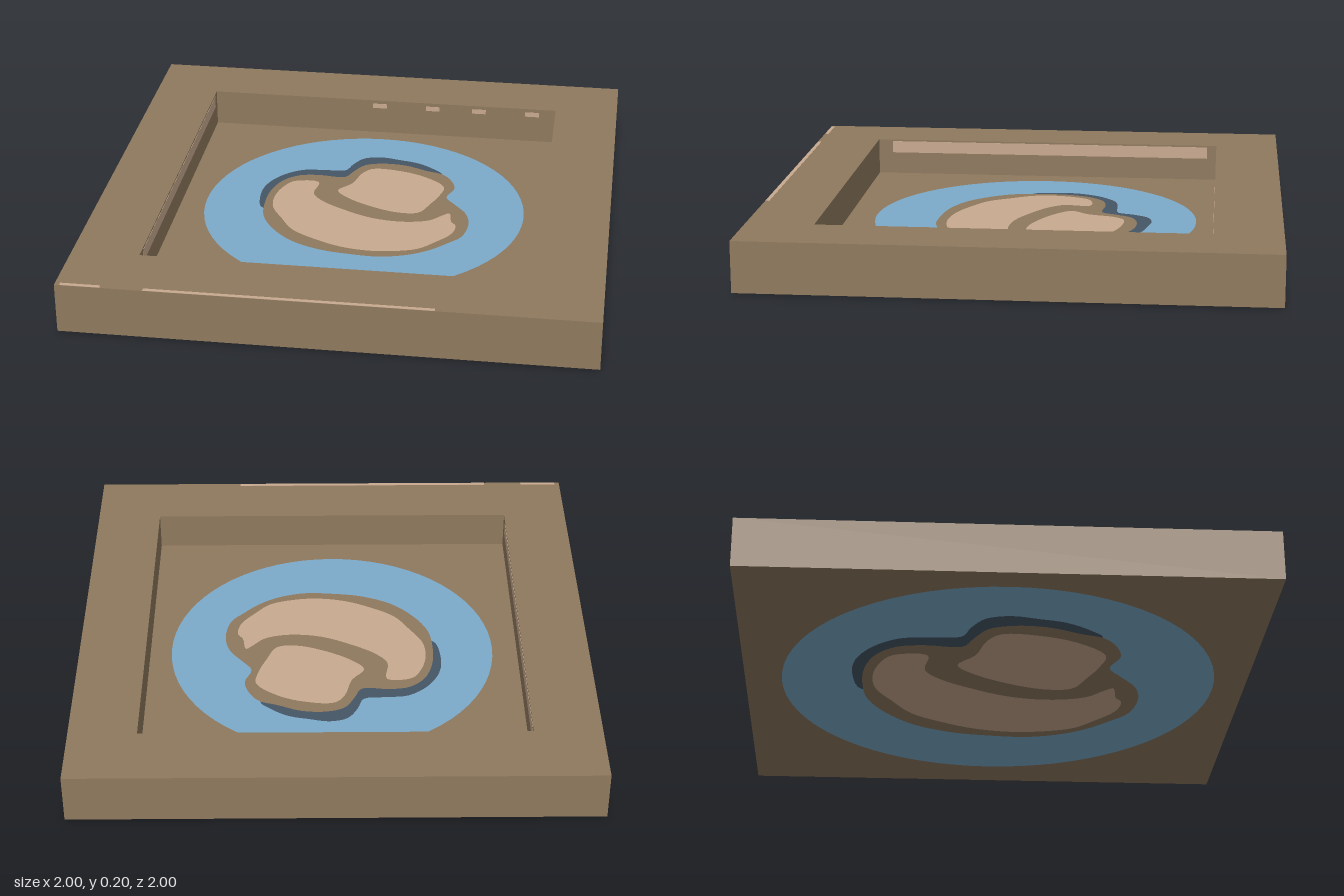
import * as THREE from 'three';

const mat = (name, color) => {
  const m = new THREE.MeshStandardMaterial({ color });
  m.name = name;
  return m;
};

export function createModel() {
  const model = new THREE.Group();
  model.name = 'framedPanel';
  const brown = mat('brown', 0x8f795e);
  const blue = mat('blue', 0x7cabca);
  const tan = mat('tan', 0xc8aa8f);
  const slate = mat('slate', 0x465666);

  const add = (parent, name, geometry, material) => {
    const mesh = new THREE.Mesh(geometry, material);
    mesh.name = name;
    parent.add(mesh);
    return mesh;
  };
  const box = (name, w, h, d, x, y, z, material) =>
    add(model, name, new THREE.BoxGeometry(w, h, d), material).position.set(x, y, z);

  const square = (r, Type) => {
    const s = new Type();
    s.moveTo(-r, -r);
    s.lineTo(r, -r);
    s.lineTo(r, r);
    s.lineTo(-r, r);
    s.closePath();
    return s;
  };

  // Square frame around a recessed floor
  const base = 0.004, floor = 0.05, inner = 0.74;
  const outline = square(1, THREE.Shape);
  outline.holes.push(square(inner, THREE.Path));
  const frame = new THREE.ExtrudeGeometry(outline, { depth: 0.2 - base, bevelEnabled: false });
  frame.rotateX(-Math.PI / 2).translate(0, base, 0);
  add(model, 'frame', frame, brown);
  box('floorPanel', inner * 2, floor - base, inner * 2, 0, (floor + base) / 2, 0, brown);

  // Painted picture: flat layers, outlines listed as x, z pairs
  const layer = (parent, name, coords, y, material) => {
    const pts = [];
    for (let i = 0; i < coords.length; i += 2) pts.push(new THREE.Vector3(coords[i], -coords[i + 1], 0));
    const curve = new THREE.CatmullRomCurve3(pts, true, 'centripetal');
    const shape = new THREE.Shape(curve.getPoints(pts.length * 4).slice(0, -1).map(p => new THREE.Vector2(p.x, p.y)));
    add(parent, name, new THREE.ShapeGeometry(shape).rotateX(-Math.PI / 2), material).position.y = y;
  };

  const makePicture = () => {
    const g = new THREE.Group();
    const disc = new THREE.CircleGeometry(0.648, 72).rotateX(-Math.PI / 2);
    add(g, 'blueDisc', disc, blue).position.set(0.007, 0.001, -0.02);
    layer(g, 'shadowBand', [
      -0.4, 0.03, -0.43, -0.08, -0.42, -0.18, -0.37, -0.27, -0.29, -0.33, -0.2, -0.34, -0.115, -0.35,
      -0.09, -0.41, -0.05, -0.47, 0.02, -0.49, 0.1, -0.475, 0.18, -0.455, 0.25, -0.41, 0.29, -0.365,
      0.15, -0.3, -0.05, -0.15, -0.25, -0.05,
    ], 0.002, slate);
    layer(g, 'brownBlob', [
      -0.4, 0.0, -0.395, -0.12, -0.36, -0.22, -0.3, -0.275, -0.22, -0.29, -0.11, -0.285, -0.08, -0.34,
      -0.04, -0.405, 0.03, -0.43, 0.13, -0.425, 0.23, -0.385, 0.29, -0.365, 0.33, -0.32, 0.355, -0.24,
      0.33, -0.16, 0.37, -0.1, 0.42, -0.03, 0.44, 0.06, 0.42, 0.17, 0.37, 0.23, 0.31, 0.29, 0.23, 0.34,
      0.12, 0.37, 0, 0.365, -0.12, 0.345, -0.24, 0.29, -0.33, 0.2, -0.385, 0.1,
    ], 0.003, brown);
    layer(g, 'tanCrescent', [
      -0.31, -0.22, -0.21, -0.225, -0.215, -0.12, -0.17, -0.06, -0.08, 0, 0.05, 0.06, 0.18, 0.075,
      0.28, 0.05, 0.33, 0, 0.355, -0.02, 0.37, 0.05, 0.39, 0.08, 0.38, 0.15, 0.32, 0.23, 0.26, 0.29,
      0.17, 0.32, 0.07, 0.33, -0.05, 0.31, -0.16, 0.26, -0.25, 0.2, -0.31, 0.11, -0.36, 0.02,
      -0.37, -0.07, -0.35, -0.16,
    ], 0.004, tan);
    layer(g, 'tanWedge', [
      0, -0.375, 0.11, -0.37, 0.22, -0.33, 0.31, -0.25, 0.3, -0.17, 0.27, -0.09, 0.23, -0.01, 0.15, 0,
      0.03, -0.04, -0.07, -0.1, -0.12, -0.16, -0.07, -0.23, -0.04, -0.33,
    ], 0.004, tan);
    model.add(g);
    return g;
  };

  const topPicture = makePicture();
  topPicture.name = 'topPicture';
  topPicture.position.y = floor;

  // The underside carries the same picture, larger and turned over a diagonal
  const under = makePicture();
  under.name = 'undersidePicture';
  under.quaternion.setFromAxisAngle(new THREE.Vector3(1, 0, 1).normalize(), Math.PI);
  under.scale.set(1.333, 1, 1.333);
  under.position.y = base;

  // Pale worn streaks on the rim and inner walls
  for (const [x0, x1] of [[-0.98, -0.83], [-0.67, -0.24], [-0.24, 0.4]])
    box('rimStreak', x1 - x0, 0.002, 0.016, (x0 + x1) / 2, 0.2, 0.991, tan);
  box('wallStreak', 0.003, 0.05, 1.38, -inner, 0.168, -0.01, tan);
  for (const x of [0.64, 0.41, 0.21, -0.02])
    box('wallFleck', 0.06, 0.02, 0.003, x, 0.175, -inner, tan);

  return model;
}
